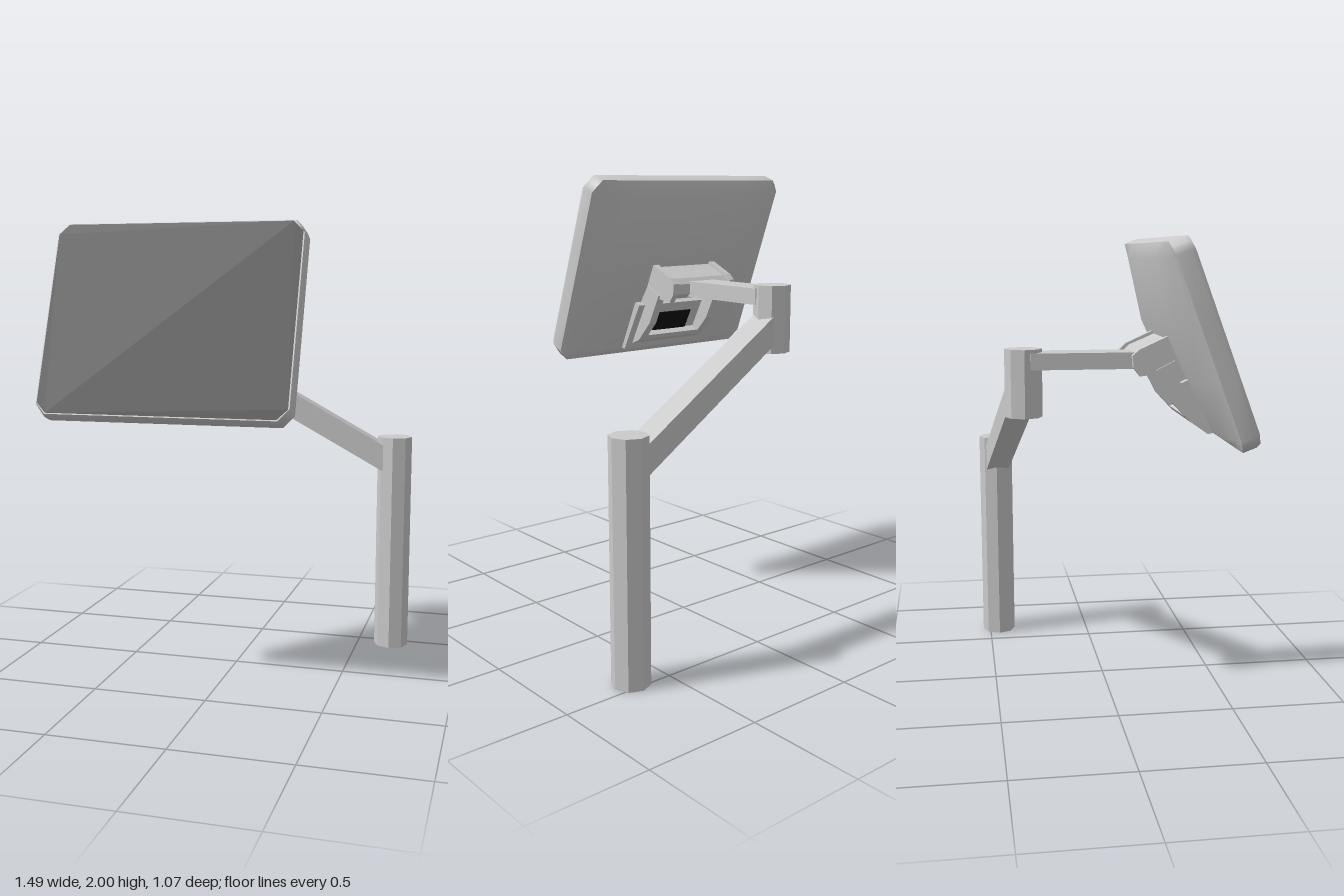
import * as THREE from 'three';

export function createModel() {
  const model = new THREE.Group();
  const grey = new THREE.MeshStandardMaterial({ color: 0xcacaca });
  grey.name = 'light grey plastic';
  const black = new THREE.MeshStandardMaterial({ color: 0x0d0d0d });
  black.name = 'screen black';

  const AX = -0.19; // centre line of the display and its arm

  const add = (name, geometry, material = grey, parent = model) => {
    const mesh = new THREE.Mesh(geometry, material);
    mesh.name = name;
    parent.add(mesh);
    return mesh;
  };
  const shapeOf = (points) => new THREE.Shape(points.map(([x, y]) => new THREE.Vector2(x, y)));

  // Octagonal upright with flat sides
  const octagon = (name, radius, y0, y1, x, z) => {
    const g = new THREE.CylinderGeometry(radius, radius, y1 - y0, 8).toNonIndexed();
    g.computeVertexNormals();
    add(name, g).position.set(x, (y0 + y1) / 2, z);
  };
  // Side profile of [z, y] points, extruded across x
  const profile = (name, points, width, x = AX, material = grey) => {
    const g = new THREE.ExtrudeGeometry(shapeOf(points), { depth: width, bevelEnabled: false });
    g.translate(0, 0, -width / 2).rotateY(-Math.PI / 2);
    add(name, g, material).position.x = x;
  };

  // Pole and elbow joint
  octagon('pole', 0.081, 0, 1.025, 0.66, -0.455);
  octagon('elbowJoint', 0.08, 1.25, 1.54, AX, -0.365);

  // Sloping lower arm with upright ends
  const lower = new THREE.ExtrudeGeometry(
    shapeOf([[0.05, 1.287], [0.806, 0.86], [0.806, 0.985], [0.05, 1.412]]),
    { depth: 0.112, bevelEnabled: false });
  lower.translate(0, 0, -0.056).rotateY(0.1055);
  add('lowerArm', lower).position.set(AX, 0, -0.365);

  // Level upper arm
  add('upperArm', new THREE.BoxGeometry(0.15, 0.07, 0.46)).position.set(AX, 1.49, -0.11);

  // Tilted display
  const display = new THREE.Group();
  display.name = 'display';
  display.position.set(AX, 1.6, 0.38);
  display.rotation.x = -0.36;
  model.add(display);

  // Shell: a gridded box with cut corners, bevelled rim and bulging back
  const xs = [-0.555, -0.51, -0.33, 0, 0.33, 0.51, 0.555];
  const ys = [-0.435, -0.383, -0.14, 0.1, 0.378, 0.435];
  const bulge = [0, 0.037, 0.058, 0.075, 0.037, 0.005];
  const shell = new THREE.BoxGeometry(6, 5, 2, 6, 5, 2);
  const p = shell.attributes.position;
  for (let v = 0; v < p.count; v++) {
    const i = Math.round(p.getX(v) + 3), j = Math.round(p.getY(v) + 2.5), k = Math.round(p.getZ(v) + 1);
    let x = xs[i], y = ys[j];
    if (i % 6 === 0 && j % 5 === 0) { x *= 0.96; y *= 0.94; }
    const across = Math.min(1, (0.555 - Math.abs(x)) / 0.225);
    const z = [-0.08 - across * bulge[j], -0.02, 0][k];
    if (k === 2) { x *= 0.988; y *= 0.982; }
    p.setXYZ(v, x, y, z);
  }
  shell.computeVertexNormals();
  add('displayShell', shell, grey, display);

  // Screen with cut corners
  const w = 0.543, h = 0.423, c = 0.044;
  const outline = [[w, -h + c], [w, h - c], [w - c, h], [c - w, h],
    [-w, h - c], [-w, c - h], [c - w, -h], [w - c, -h]];
  add('screen', new THREE.ShapeGeometry(shapeOf(outline)), black, display).position.z = 0.003;

  // Mount flange on the back and its dark recess
  profile('mountFlange', [[0.29, 1.42], [0.27, 1.41], [0.385, 1.195], [0.41, 1.2], [0.43, 1.22], [0.32, 1.43]], 0.46);
  profile('mountRecess', [[0.293, 1.367], [0.288, 1.364], [0.351, 1.246], [0.356, 1.249]], 0.2, AX, black);

  // U-shaped fairing below the pivot
  for (const side of [-1, 1]) {
    profile('fairingCheek', [[0.17, 1.46], [0.18, 1.44], [0.24, 1.325], [0.32, 1.24],
      [0.4, 1.21], [0.42, 1.25], [0.25, 1.5]], 0.04, AX + side * 0.175);
  }
  profile('fairingBase', [[0.3, 1.262], [0.32, 1.24], [0.4, 1.21], [0.42, 1.24], [0.34, 1.28]], 0.32);

  // Pivot head between two cheeks
  profile('pivotHead', [[0.25, 1.6], [0.21, 1.58], [0.115, 1.54], [0.09, 1.515],
    [0.09, 1.47], [0.115, 1.45], [0.3, 1.45]], 0.31);
  for (const side of [-1, 1]) {
    profile('pivotCheek', [[0.25, 1.61], [0.21, 1.595], [0.1, 1.545], [0.073, 1.52],
      [0.078, 1.47], [0.105, 1.435], [0.18, 1.445], [0.28, 1.46]], 0.03, AX + side * 0.17);
  }
  return model;
}
